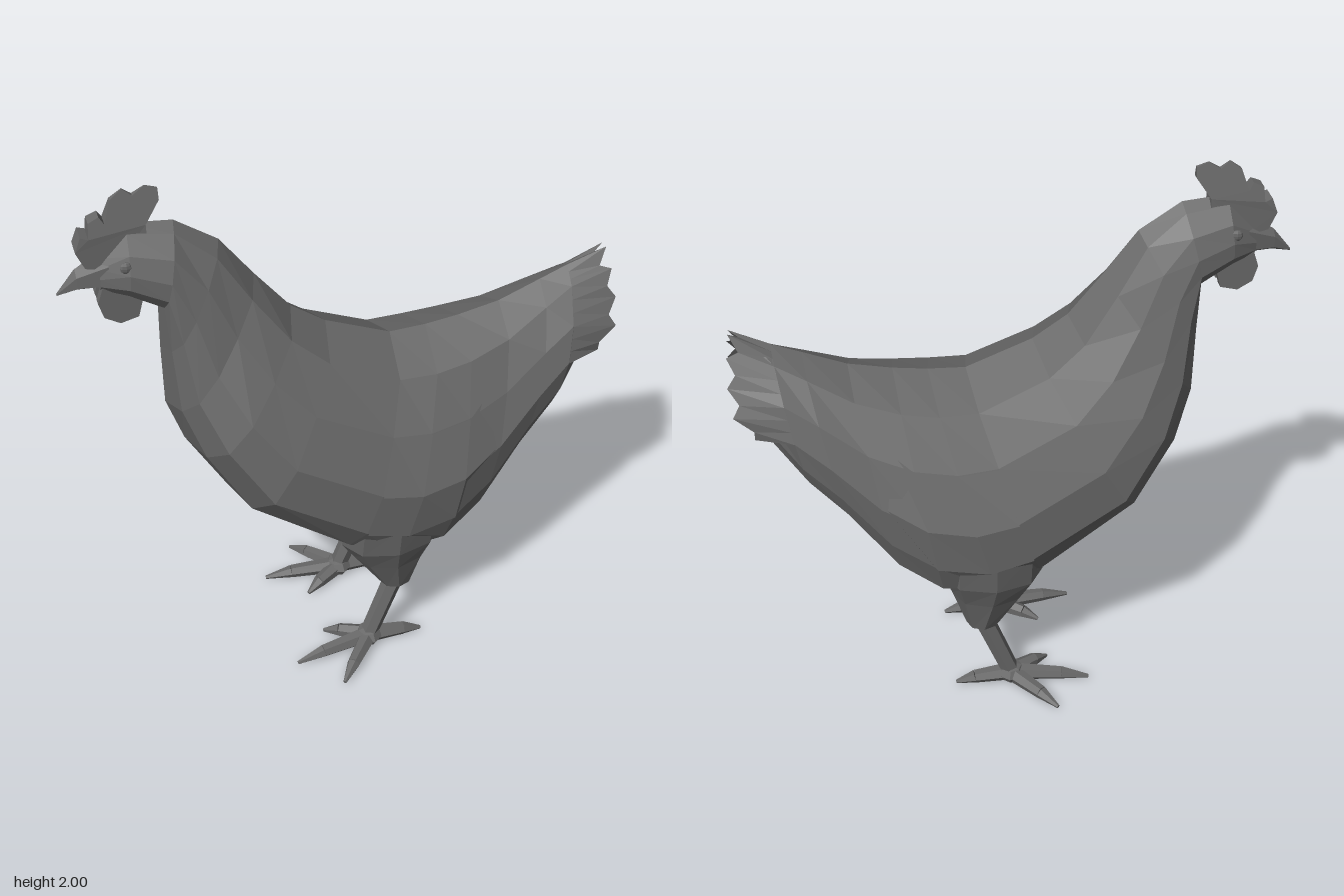
import * as THREE from 'three';

const mat = new THREE.MeshStandardMaterial({ color: 0x686868, flatShading: true });
const thinMat = new THREE.MeshStandardMaterial({ color: 0x686868, flatShading: true, side: THREE.DoubleSide });
const V = (x, y, z) => new THREE.Vector3(x, y, z);

function add(parent, name, geometry, material = mat) {
  const mesh = new THREE.Mesh(geometry, material);
  mesh.name = name;
  parent.add(mesh);
  return mesh;
}

// Skin a list of equal-length point rows
function skin(rows, wrap) {
  const n = rows[0].length, pos = [], idx = [];
  rows.forEach(r => r.forEach(p => pos.push(p.x, p.y, p.z)));
  for (let i = 0; i < rows.length - 1; i++) {
    for (let j = 0; j < (wrap ? n : n - 1); j++) {
      const k = (j + 1) % n, a = i * n + j, b = i * n + k;
      idx.push(a, b, b + n, a, b + n, a + n);
    }
  }
  const g = new THREE.BufferGeometry();
  g.setAttribute('position', new THREE.Float32BufferAttribute(pos, 3));
  g.setIndex(idx);
  g.computeVertexNormals();
  return g;
}

// Closed loft: both ends collapse to their centres
function loft(rings) {
  const cap = ring => {
    const c = ring.reduce((s, p) => s.add(p), V(0, 0, 0)).divideScalar(ring.length);
    return ring.map(() => c);
  };
  return skin([cap(rings[0]), ...rings, cap(rings[rings.length - 1])], true);
}

// Tapered bar between two points
function limb(parent, name, a, b, ra, rb) {
  const dir = b.clone().sub(a);
  const mesh = add(parent, name, new THREE.CylinderGeometry(rb, ra, dir.length(), 6));
  mesh.position.copy(a).add(b).multiplyScalar(0.5);
  mesh.quaternion.setFromUnitVectors(V(0, 1, 0), dir.normalize());
}

// Flat shape in the xy plane, centred on z = 0
function plate(points, depth) {
  const shape = new THREE.Shape(points.map(p => new THREE.Vector2(...p)));
  return new THREE.ExtrudeGeometry(shape, { depth, bevelEnabled: false }).translate(0, 0, -depth / 2);
}

// Body sections, head to tail: top x, top y, bottom x, bottom y, half width, ridge and underside fullness
const SECTIONS = [
  [-0.82, 1.79, -0.82, 1.66, 0.05, 0.35, 0.66],
  [-0.72, 1.88, -0.74, 1.63, 0.1, 0.33, 0.66],
  [-0.57, 1.865, -0.64, 1.57, 0.125, 0.33, 0.66],
  [-0.43, 1.77, -0.645, 1.4, 0.15, 0.42, 0.66],
  [-0.32, 1.62, -0.645, 1.17, 0.2, 0.48, 0.66],
  [-0.2, 1.47, -0.59, 1.0, 0.285, 0.5, 0.66],
  [-0.08, 1.385, -0.45, 0.75, 0.34, 0.5, 0.66],
  [0.15, 1.29, -0.1, 0.51, 0.36, 0.52, 0.74],
  [0.28, 1.295, 0.06, 0.45, 0.36, 0.53, 0.8],
  [0.4, 1.31, 0.26, 0.47, 0.335, 0.53, 0.86],
  [0.55, 1.34, 0.41, 0.57, 0.285, 0.5, 0.86],
  [0.7, 1.4, 0.57, 0.79, 0.235, 0.42, 0.86],
  [0.8, 1.44, 0.7, 0.93, 0.2, 0.35, 0.84],
  [0.86, 1.46, 0.82, 1.08, 0.125, 0.3, 0.8],
];
// Half outline of a section: fraction down, fraction of half width
const OUTLINE = [[0, 0], [0.09, 0.5], [0.3, 0.79], [0.54, 1], [0.75, 0.98], [0.9, 0.7], [1, 0]];

function bodyPoint(i, j, side, swell = 1) {
  const [tx, ty, bx, by, w, ridge, under] = SECTIONS[i], [t, f] = OUTLINE[j];
  const full = j === 1 ? ridge : j === 5 ? under : f;
  return V(tx + (bx - tx) * t, ty + (by - ty) * t, side * w * full * swell);
}

function createBody(group) {
  const rings = SECTIONS.map((s, i) => {
    const ring = OUTLINE.map((o, j) => bodyPoint(i, j, 1));
    for (let j = OUTLINE.length - 2; j > 0; j--) ring.push(bodyPoint(i, j, -1));
    return ring;
  });
  add(group, 'body', loft(rings));
}

// Folded wing lying just over the flank, with a ragged rear edge
function createWing(group, side) {
  const rows = [];
  for (let i = 7; i <= 10; i++) {
    const row = [];
    for (let j = 2; j <= 4; j++) {
      const p = bodyPoint(i, j, side, 1.025);
      if (i === 10) p.x -= j === 3 ? 0.02 : 0.08;
      row.push(p);
    }
    rows.push(side > 0 ? row : row.reverse());
  }
  add(group, 'wing', skin(rows, false), thinMat);
}

// Ragged fan of tail feathers: a shell running from the rump out to alternating tips and notches
function createTail(group, side) {
  const tips = [
    [0.9, 1.475, 0], [0.935, 1.497, 0.015], [0.905, 1.44, 0.04], [0.945, 1.43, 0.055], [0.92, 1.38, 0.085],
    [0.95, 1.34, 0.1], [0.915, 1.29, 0.13], [0.94, 1.25, 0.145], [0.875, 1.2, 0.16], [0.875, 1.165, 0.155],
  ].map(([x, y, z]) => V(x, y, side * z));
  const base = tips.map((tip, k) => {
    const u = k / 9 * 3, j = Math.min(2, Math.floor(u));
    return bodyPoint(12, j, side, 1.01).lerp(bodyPoint(12, j + 1, side, 1.01), u - j);
  });
  const rows = [base, tips];
  add(group, 'tailFeathers', skin(side > 0 ? rows : rows.map(r => r.reverse()), false), thinMat);
}

function createLeg(group, side) {
  const leg = new THREE.Group();
  leg.name = side > 0 ? 'leftLeg' : 'rightLeg';
  group.add(leg);
  // Thigh rings: centre x, y, z, radius x, radius z
  const thigh = [
    [0.06, 0.88, 0.24, 0.16, 0.09], [0.09, 0.7, 0.25, 0.18, 0.11], [0.09, 0.55, 0.22, 0.18, 0.115],
    [0.1, 0.45, 0.19, 0.135, 0.105], [0.125, 0.3, 0.19, 0.06, 0.055],
  ].map(([x, y, z, rx, rz]) => Array.from({ length: 8 }, (_, k) => {
    const a = k / 8 * Math.PI * 2;
    return V(x + rx * Math.cos(a), y, side * z + rz * Math.sin(a));
  }));
  add(leg, 'thigh', loft(thigh));
  const ankle = V(0.025, 0.055, side * 0.2);
  limb(leg, 'shank', V(0.125, 0.32, side * 0.193), ankle, 0.037, 0.034);
  const pad = add(leg, 'footPad', new THREE.SphereGeometry(0.055, 7, 4));
  pad.position.set(0.02, 0.04, side * 0.2);
  pad.scale.y = 0.7;
  // Three front toes and one hind toe, each with a claw
  for (const [x, z] of [[-0.27, 0.24], [-0.13, 0.385], [-0.13, 0.105], [0.23, 0.2]]) {
    const tip = V(x, 0.01, side * z);
    const knuckle = ankle.clone().lerp(tip, 0.65).setY(0.028);
    limb(leg, 'toe', ankle.clone().setY(0.038), knuckle, 0.034, 0.025);
    limb(leg, 'claw', knuckle, tip, 0.025, 0.007);
  }
}

function createHead(group) {
  // Beak drooping to a point
  const beak = [[-0.955, 1.66, 0.004, 0.004], [-0.89, 1.705, 0.038, 0.032], [-0.79, 1.73, 0.07, 0.065]]
    .map(([x, y, ry, rz]) => Array.from({ length: 6 }, (_, k) => {
      const a = k / 6 * Math.PI * 2;
      return V(x, y + ry * Math.cos(a), rz * Math.sin(a));
    }));
  add(group, 'beak', loft(beak));
  // Lobed comb, thinning to an edge at the top
  const comb = plate([
    [-0.86, 1.76], [-0.885, 1.82], [-0.865, 1.87], [-0.84, 1.86], [-0.835, 1.91], [-0.8, 1.925], [-0.785, 1.9],
    [-0.76, 1.97], [-0.72, 2.0], [-0.69, 1.975], [-0.65, 2.0], [-0.61, 1.985], [-0.61, 1.95], [-0.66, 1.88],
    [-0.66, 1.82], [-0.78, 1.74],
  ], 1);
  const p = comb.attributes.position;
  for (let i = 0; i < p.count; i++) p.setZ(i, p.getZ(i) * (0.004 + Math.min(0.07, (2 - p.getY(i)) * 0.5)));
  add(group, 'comb', comb);
  // Paired wattles under the beak, small eyes
  const wattle = plate([
    [-0.81, 1.7], [-0.835, 1.63], [-0.82, 1.575], [-0.77, 1.545], [-0.71, 1.56], [-0.69, 1.63], [-0.71, 1.7],
  ], 0.03);
  for (const side of [1, -1]) {
    add(group, 'wattle', wattle).position.z = side * 0.032;
    const eye = add(group, 'eye', new THREE.SphereGeometry(0.02, 8, 6));
    eye.position.set(-0.74, 1.77, side * 0.085);
    eye.scale.z = 0.5;
  }
}

export function createModel() {
  const model = new THREE.Group();
  model.name = 'hen';
  createBody(model);
  createHead(model);
  for (const side of [1, -1]) {
    createWing(model, side);
    createTail(model, side);
    createLeg(model, side);
  }
  return model;
}
